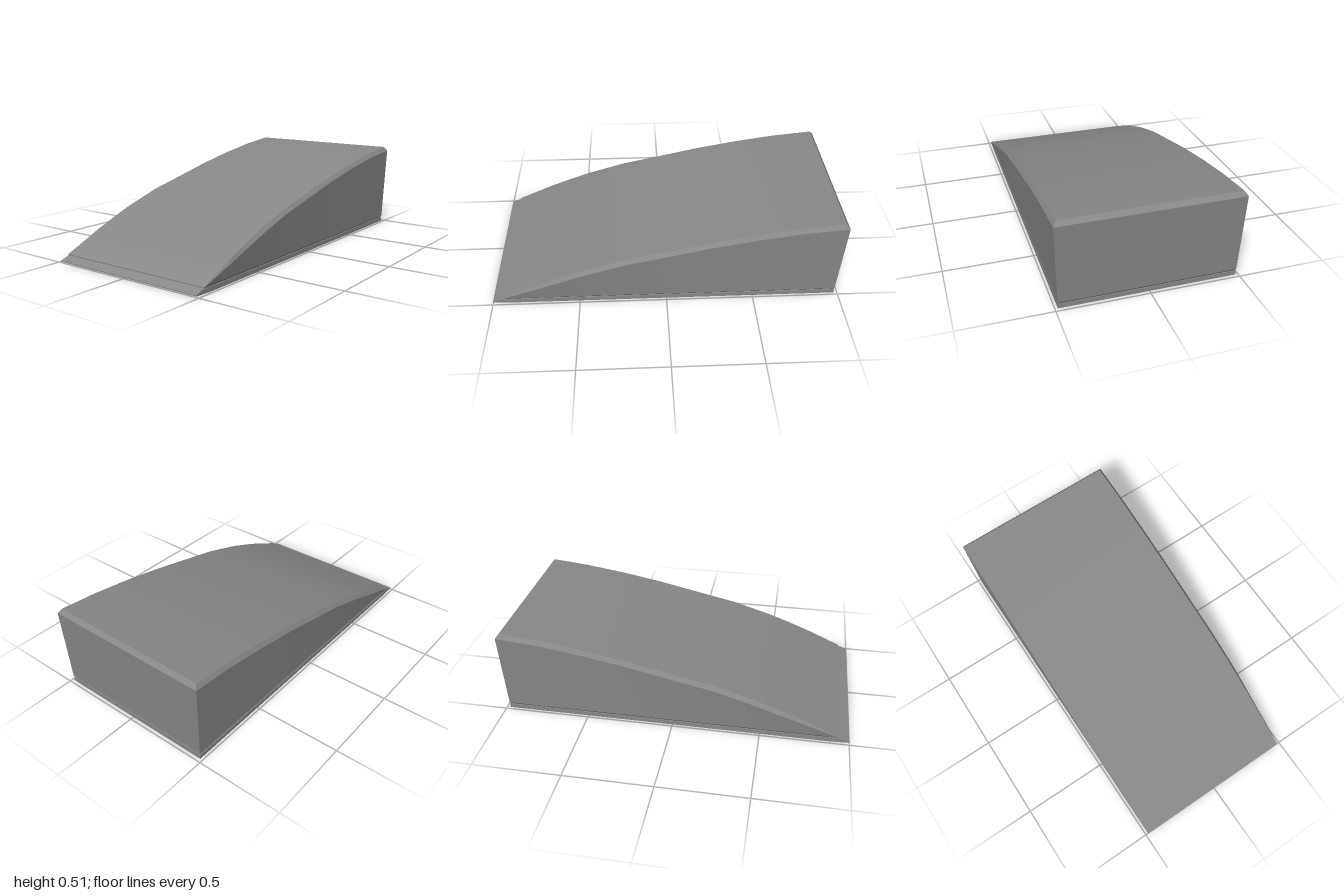
import * as THREE from 'three';
import { toCreasedNormals } from 'three/addons/utils/BufferGeometryUtils.js';

const SOLE = 0.025;

// Crown line from back to front: [z, height]
const crown = [
  [-0.98, 0.511], [-0.75, 0.488], [-0.5, 0.451], [-0.25, 0.405], [0, 0.35], [0.24, 0.298],
  [0.48, 0.226], [0.6, 0.182], [0.72, 0.135], [0.85, 0.078], [0.945, 0.036],
];

// Ring of eight points: seam, lower edge, upper side and crown, then mirrored
function section([z, top], index) {
  const back = index === 0, front = index === crown.length - 1;
  const rise = top - SOLE;
  const taper = Math.max(0, (z - 0.5) / 0.5);
  const low = SOLE + Math.min(0.01, rise * 0.4);
  const side = Math.max(low, top - 0.025 * Math.min(1, rise / 0.13));
  const half = [
    [0.478, SOLE, back ? -0.974 : front ? 0.955 : z],
    [0.486, low, back ? -0.981 : z],
    [0.501 - 0.015 * taper, side, back ? -1 : z],
    [0.484, top, z],
  ];
  return [...half, ...half.slice().reverse().map(([x, y, zz]) => [-x, y, zz])];
}

function bodyGeometry() {
  const rings = crown.map(section);
  const positions = [];
  const quad = (a, b, c, d) => positions.push(...a, ...b, ...c, ...a, ...c, ...d);

  // Skin between neighbouring sections
  for (let i = 0; i < rings.length - 1; i++) {
    const a = rings[i], b = rings[i + 1];
    for (let j = 0; j < 8; j++) {
      const k = (j + 1) % 8;
      quad(a[j], a[k], b[k], b[j]);
    }
  }
  // Back wall with its bevels, and the small front step
  const back = rings[0], front = rings[rings.length - 1];
  for (let j = 0; j < 3; j++) {
    quad(back[j], back[7 - j], back[6 - j], back[j + 1]);
    quad(front[7 - j], front[j], front[j + 1], front[6 - j]);
  }

  const geometry = new THREE.BufferGeometry();
  geometry.setAttribute('position', new THREE.Float32BufferAttribute(positions, 3));
  return toCreasedNormals(geometry, 0.35);
}

// Thin sole plate whose front tapers to a lip, drawn as a [z, y] profile
function soleGeometry() {
  const profile = [[-0.98, 0], [0.9, 0], [1, 0.005], [1, 0.01], [0.955, SOLE], [-0.98, SOLE]];
  const shape = new THREE.Shape(profile.map(([z, y]) => new THREE.Vector2(z, y)));
  return new THREE.ExtrudeGeometry(shape, { depth: 0.97, bevelEnabled: false })
    .translate(0, 0, -0.485)
    .rotateY(-Math.PI / 2);
}

export function createModel() {
  const group = new THREE.Group();
  group.name = 'curvedWedge';
  const material = new THREE.MeshStandardMaterial({ color: 0x888888 });
  const parts = { wedgeBody: bodyGeometry(), solePlate: soleGeometry() };
  for (const [name, geometry] of Object.entries(parts)) {
    const mesh = new THREE.Mesh(geometry, material);
    mesh.name = name;
    group.add(mesh);
  }
  return group;
}
